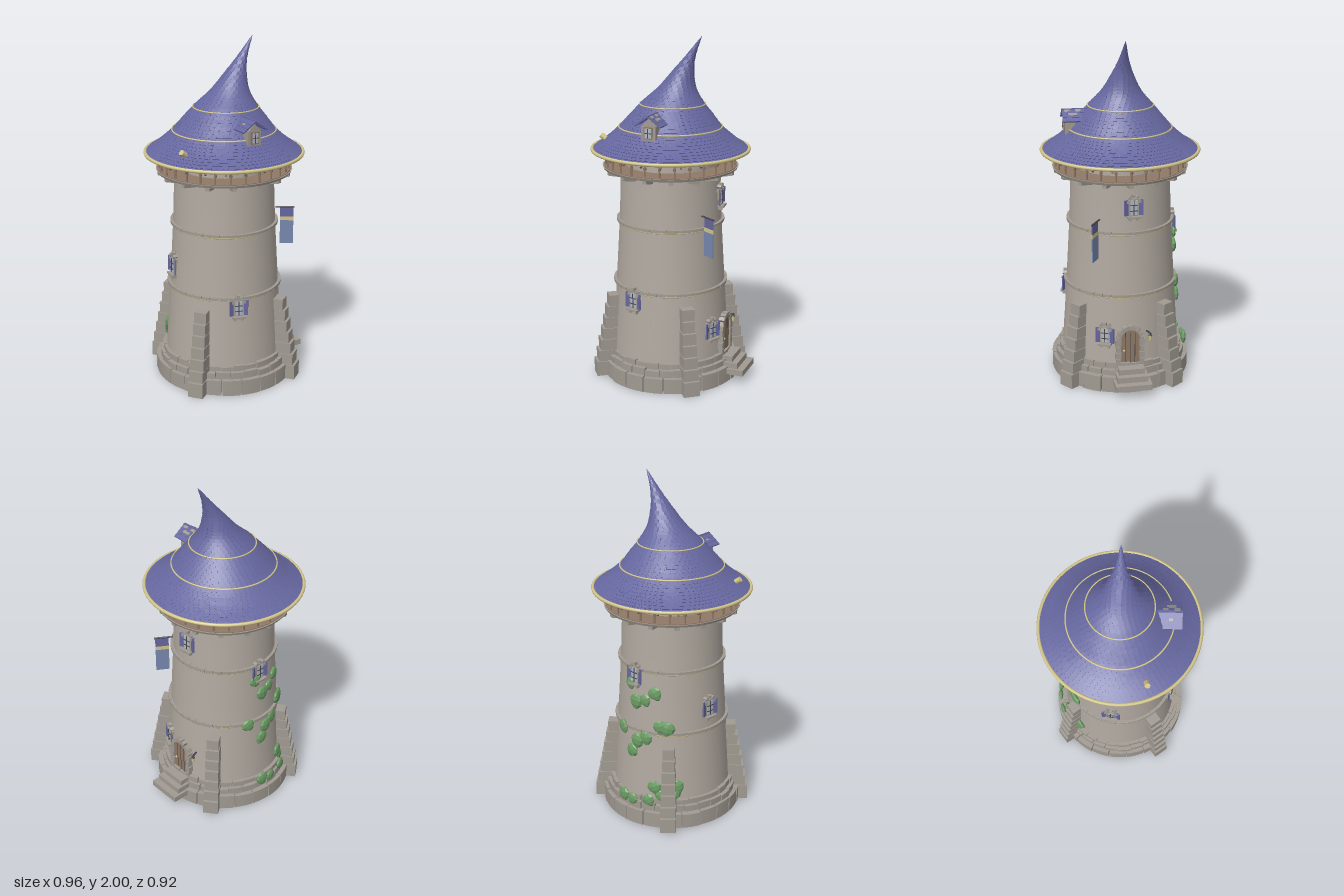
import * as THREE from 'three';
import { mergeGeometries } from 'three/addons/utils/BufferGeometryUtils.js';

const mat = (name, color, side = THREE.FrontSide) => {
  const m = new THREE.MeshStandardMaterial({ color, side });
  m.name = name;
  return m;
};
const M = {
  wall: mat('wall stone', 0xb1a9a0, THREE.DoubleSide),
  block: mat('block stone', 0xa09a91),
  roof: mat('roof blue', 0x66679f, THREE.DoubleSide),
  gold: mat('gold trim', 0xd3c68a),
  wood: mat('wood', 0x8f7866),
  glass: mat('window glass', 0xb0b8c6),
  ivy: mat('ivy green', 0x6c9d65),
  cloth: mat('banner cloth', 0x7888ae),
  dark: mat('dark iron', 0x4a484e),
};
const rad = THREE.MathUtils.degToRad;
let seed = 7;
const rnd = () => (seed = (seed * 16807) % 2147483647) / 2147483647;

function add(parent, name, geo, material, x = 0, y = 0, z = 0) {
  const mesh = new THREE.Mesh(geo, material);
  mesh.name = name;
  mesh.position.set(x, y, z);
  parent.add(mesh);
  return mesh;
}
const box = (w, h, d, x = 0, y = 0, z = 0) => new THREE.BoxGeometry(w, h, d).translate(x, y, z);

// Moves every vertex of a geometry by a rule
function bend(geo, rule) {
  const p = geo.attributes.position, v = new THREE.Vector3();
  for (let i = 0; i < p.count; i++) {
    rule(v.fromBufferAttribute(p, i));
    p.setXYZ(i, v.x, v.y, v.z);
  }
  geo.computeVertexNormals();
  return geo;
}
// Block curved around the tower axis
const arcBlock = (a0, a1, r0, r1, y0, y1) => bend(new THREE.BoxGeometry(1, 1, 1, 3), (v) => {
  const a = a0 + (v.x + 0.5) * (a1 - a0), r = r0 + (v.z + 0.5) * (r1 - r0);
  v.set(Math.sin(a) * r, y0 + (v.y + 0.5) * (y1 - y0), Math.cos(a) * r);
});
function blockRing(n, r0, r1, y0, y1, gap, wobble) {
  const step = Math.PI * 2 / n;
  return mergeGeometries(Array.from({ length: n }, (_, i) =>
    arcBlock(i * step, (i + 1) * step - gap, r0, r1 + (rnd() - 0.5) * wobble, y0, y1 + (rnd() - 0.5) * wobble)));
}
// Same piece repeated around the axis
const around = (n, make) => mergeGeometries(Array.from({ length: n }, (_, i) => make().rotateY(i * Math.PI * 2 / n)));
const ring = (r, tube) => new THREE.TorusGeometry(r, tube, 8, 64).rotateX(Math.PI / 2);

// Shaft profile as [radius, height]
const SHAFT = [[0.35, 0.1], [0.34, 0.26], [0.32, 0.56], [0.298, 0.93], [0.287, 1.22]];
function shaftR(y) {
  for (let i = 1; i < SHAFT.length; i++) {
    const [r0, y0] = SHAFT[i - 1], [r1, y1] = SHAFT[i];
    if (y <= y1) return r0 + (r1 - r0) * (y - y0) / (y1 - y0);
  }
  return 0.287;
}
function onWall(parent, name, deg, y, out = 0) {
  const g = new THREE.Group(), a = rad(deg), r = shaftR(y) + out;
  g.name = name;
  g.position.set(Math.sin(a) * r, y, Math.cos(a) * r);
  g.rotation.y = a;
  parent.add(g);
  return g;
}
// Wedge stones over an opening
function archStones(n, r, size, y) {
  return mergeGeometries(Array.from({ length: n }, (_, i) => {
    const a = Math.PI * (i / (n - 1) - 0.5);
    return box(size * 0.92, size, 0.04, 0, r, 0).rotateZ(a).translate(0, y, 0);
  }));
}

function addWindow(parent, deg, y) {
  const g = onWall(parent, 'window', deg, y);
  add(g, 'windowFrame', box(0.058, 0.1, 0.03), M.block);
  add(g, 'windowPane', box(0.042, 0.086, 0.008, 0, 0, 0.014), M.glass);
  add(g, 'windowBars', mergeGeometries([box(0.004, 0.086, 0.006, 0, 0, 0.019),
    box(0.044, 0.004, 0.006, 0, 0.015, 0.019), box(0.044, 0.004, 0.006, 0, -0.018, 0.019)]), M.dark);
  add(g, 'windowHood', archStones(5, 0.032, 0.018, 0.036), M.block);
  add(g, 'windowSill', mergeGeometries([box(0.075, 0.012, 0.05, 0, -0.055, 0.01),
    box(0.012, 0.016, 0.03, -0.022, -0.068, 0.01), box(0.012, 0.016, 0.03, 0.022, -0.068, 0.01)]), M.block);
  for (const s of [-1, 1]) {
    const shutter = add(g, 'shutter', box(0.024, 0.09, 0.008), M.roof, s * 0.043, 0, 0.014);
    shutter.rotation.y = -s * 0.35;
  }
}

function addDoor(parent) {
  const g = onWall(parent, 'door', 90, 0.15, -0.005), w = 0.055, h = 0.165;
  const s = new THREE.Shape().moveTo(-w, 0).lineTo(w, 0).lineTo(w, h).absarc(0, h, w, 0, Math.PI).lineTo(-w, 0);
  add(g, 'doorLeaf', new THREE.ExtrudeGeometry(s, { depth: 0.04, bevelEnabled: false, curveSegments: 10 }), M.wood, 0, 0, -0.03);
  add(g, 'doorPlankGaps', mergeGeometries([-0.028, 0, 0.028].map((x) => box(0.003, 0.2, 0.003, x, 0.1, 0.01))), M.dark);
  add(g, 'doorArch', archStones(9, 0.066, 0.024, h), M.block);
  add(g, 'doorJambs', mergeGeometries([-1, 1].flatMap((k) => [0, 1, 2, 3].map((i) =>
    box(0.024 + (i % 2) * 0.01, 0.037, 0.045, k * 0.069, 0.02 + i * 0.04, -0.002)))), M.block);
  add(g, 'doorHandle', new THREE.SphereGeometry(0.007, 8, 6), M.gold, -0.036, 0.09, 0.014);
  // Steps and lantern
  add(parent, 'steps', mergeGeometries([box(0.15, 0.034, 0.21, 0.42, 0.067, 0),
    box(0.13, 0.034, 0.18, 0.39, 0.101, 0), box(0.12, 0.034, 0.15, 0.36, 0.133, 0)]), M.block);
  const l = onWall(parent, 'lantern', 108, 0.305);
  add(l, 'lanternBracket', box(0.008, 0.008, 0.05, 0, 0.035, 0.02), M.dark);
  add(l, 'lanternGlass', new THREE.CylinderGeometry(0.01, 0.008, 0.03, 6), M.gold, 0, 0.008, 0.038);
  add(l, 'lanternCap', new THREE.ConeGeometry(0.014, 0.014, 6), M.dark, 0, 0.029, 0.038);
}

// Roof spine: x = centre offset, y = height, z = radius
const SPINE = new THREE.CatmullRomCurve3([[0, 1.352, 0.45], [0, 1.41, 0.368], [0, 1.48, 0.292], [0.006, 1.55, 0.234],
  [0.013, 1.62, 0.175], [0.038, 1.7, 0.11], [0.077, 1.8, 0.06], [0.112, 1.87, 0.033], [0.146, 1.93, 0.016],
  [0.187, 1.998, 0.001]].map((p) => new THREE.Vector3(...p)));
function roofPoint(v, a, t, out) {
  const p = SPINE.getPointAt(THREE.MathUtils.clamp(t, 0, 1)), r = p.z + out;
  v.set(p.x + Math.sin(a) * r, p.y + out * 0.8 * (1 - t), Math.cos(a) * r);
}
function addRoof(parent) {
  add(parent, 'roofSkin', bend(new THREE.PlaneGeometry(1, 1, 64, 40), (v) =>
    roofPoint(v, (v.x + 0.5) * Math.PI * 2, v.y + 0.5, 0)), M.roof);
  const tiles = [], rows = 38;
  for (let i = 0; i < rows - 1; i++) {
    const t0 = i / rows, n = Math.max(10, Math.round(SPINE.getPointAt(t0).z * 2 * Math.PI / 0.03));
    for (let j = 0; j < n; j++) {
      const shift = (i % 2) * 0.5, lift = (0.004 + rnd() * 0.0015) * (1 - 0.7 * t0);
      tiles.push(bend(new THREE.BoxGeometry(1, 1, 1), (v) => roofPoint(v, (j + shift + v.x * 0.97) * Math.PI * 2 / n,
        t0 + (v.y + 0.5) * 1.03 / rows, (v.z + 0.5) * (v.y < 0 ? lift : 0.0015))));
    }
  }
  add(parent, 'roofTiles', mergeGeometries(tiles), M.roof);
  add(parent, 'eaveTrim', ring(0.451, 0.01), M.gold, 0, 1.354, 0);
  add(parent, 'lowerRoofBand', ring(0.296, 0.0045), M.gold, 0, 1.482, 0);
  add(parent, 'upperRoofBand', ring(0.187, 0.004), M.gold, 0.012, 1.612, 0);
  // Rafters under the eaves
  add(parent, 'rafters', around(24, () => box(0.01, 0.012, 0.2).rotateX(0.72).translate(0, 1.395, 0.35)), M.wood);
  const spout = add(parent, 'roofSpout', new THREE.CylinderGeometry(0.016, 0.016, 0.035, 12), M.gold, -0.352, 1.42, 0.155);
  spout.rotation.set(0.3, 0, 0.9);

  // Dormer
  const g = new THREE.Group();
  g.name = 'dormer';
  parent.add(g);
  const s = new THREE.Shape().moveTo(-0.042, 1.43).lineTo(0.042, 1.43).lineTo(0.042, 1.535).lineTo(0, 1.575).lineTo(-0.042, 1.535);
  add(g, 'dormerWall', new THREE.ExtrudeGeometry(s, { depth: 0.12, bevelEnabled: false }), M.block, 0, 0, 0.2);
  add(g, 'dormerFrame', box(0.052, 0.068, 0.01), M.wood, 0, 1.498, 0.321);
  add(g, 'dormerPane', box(0.038, 0.054, 0.008), M.glass, 0, 1.498, 0.325);
  add(g, 'dormerBars', mergeGeometries([box(0.004, 0.054, 0.006), box(0.038, 0.004, 0.006)]), M.dark, 0, 1.498, 0.328);
  for (const k of [-1, 1]) for (let i = 0; i < 3; i++) {
    const slab = add(g, 'dormerRoof', box(0.036, 0.008, 0.133), M.roof, k * (0.013 + i * 0.025), 1.582 - i * 0.018, 0.267);
    slab.rotation.z = -k * 0.55;
  }
  add(g, 'dormerRidge', box(0.012, 0.01, 0.136), M.roof, 0, 1.59, 0.267);
  // Bare patches where dormer tiles are missing, as [x, y, z, width, depth]
  for (const [x, y, z, w, d] of [[0.015, 1.586, 0.243, 0.018, 0.03], [0.015, 1.586, 0.305, 0.018, 0.03],
    [0.038, 1.57, 0.275, 0.018, 0.05], [-0.038, 1.57, 0.272, 0.014, 0.02]]) {
    add(g, 'dormerBarePatch', box(w, 0.004, d), M.block, x, y, z).rotation.z = -Math.sign(x) * 0.55;
  }
}

function addGallery(parent) {
  add(parent, 'galleryWall', new THREE.CylinderGeometry(0.255, 0.262, 0.24, 48, 1), M.wall, 0, 1.34, 0);
  add(parent, 'gallerySlab', new THREE.CylinderGeometry(0.392, 0.386, 0.014, 48), M.block, 0, 1.252, 0);
  add(parent, 'galleryFloor', new THREE.CylinderGeometry(0.384, 0.384, 0.004, 48), M.wood, 0, 1.261, 0);
  add(parent, 'galleryCorbels', around(16, () => bend(box(0.026, 0.045, 0.13, 0, 1.222, 0.317), (v) => {
    if (v.z > 0.35 && v.y < 1.22) v.y += 0.026;
  })), M.block);
  add(parent, 'galleryPosts', around(28, () => mergeGeometries([
    new THREE.CylinderGeometry(0.005, 0.005, 0.11, 6).translate(0, 1.315, 0.372),
    new THREE.CylinderGeometry(0.009, 0.009, 0.014, 6).translate(0, 1.31, 0.372)])), M.wood);
  add(parent, 'galleryBeam', ring(0.372, 0.008), M.wood, 0, 1.365, 0);
  add(parent, 'wallBrackets', around(12, () => box(0.024, 0.045, 0.05, 0, 1.335, 0.27)), M.block);
}

export function createModel() {
  const root = new THREE.Group(), tower = new THREE.Group();
  root.name = 'tower';
  tower.name = 'towerBody';
  tower.position.x = -0.016;
  root.add(tower);

  // Hollow shaft and its string courses
  add(tower, 'shaft', new THREE.LatheGeometry(SHAFT.map((p) => new THREE.Vector2(...p)), 64), M.wall);
  add(tower, 'shaftCollar', new THREE.CylinderGeometry(0.295, 0.29, 0.03, 48, 1, true), M.wall, 0, 1.232, 0);
  for (const [y, r] of [[0.567, 0.336], [0.937, 0.314]]) {
    add(tower, 'stringCourse', blockRing(40, r - 0.03, r, y - 0.006, y + 0.01, 0.006, 0), M.block);
    add(tower, 'stringCourseTrim', ring(r - 0.008, 0.005), M.gold, 0, y - 0.009, 0);
  }

  // Stepped foundation of loose blocks
  add(tower, 'foundationLower', blockRing(22, 0.35, 0.408, 0, 0.09, 0.014, 0.01), M.block);
  add(tower, 'foundationMiddle', blockRing(28, 0.34, 0.385, 0.09, 0.13, 0.012, 0.01), M.block);
  add(tower, 'foundationUpper', blockRing(32, 0.33, 0.365, 0.13, 0.162, 0.01, 0.01), M.block);

  // Diagonal buttresses of stacked blocks
  for (let k = 0; k < 4; k++) {
    const stones = [];
    for (let i = 0; i < 7; i++) {
      const y0 = i ? 0.09 + (i - 1) * 0.068 : 0, h = i ? 0.066 : 0.088, out = 0.462 - i * 0.0135;
      stones.push(box(0.086 - i * 0.003 + rnd() * 0.008, h, out - 0.32, 0, y0 + h / 2, (out + 0.32) / 2));
    }
    add(tower, 'buttress', mergeGeometries(stones).rotateY(rad(37.5 + k * 90)), M.block);
  }

  addDoor(tower);
  for (const [deg, y] of [[-17, 0.515], [95, 1.09], [66, 0.33], [262, 0.7], [178, 0.9]]) addWindow(tower, deg, y);
  addGallery(tower);
  addRoof(tower);

  // Banner hanging out from the wall
  const b = onWall(tower, 'banner', 58, 0.9, 0.066);
  const strip = (name, h, y, m) => add(b, name, box(0.006, h, 0.078, 0, y, 0), m);
  strip('bannerTop', 0.055, 0.0835, M.roof);
  strip('bannerStripe', 0.024, 0.044, M.gold);
  strip('bannerCloth', 0.142, -0.039, M.cloth);
  add(b, 'bannerPole', new THREE.CylinderGeometry(0.005, 0.005, 0.11, 8).rotateX(Math.PI / 2), M.dark, 0, 0.114, -0.01);

  // Ivy leaves, as [degrees around, height]
  const leaves = [[172, 0.84], [181, 0.74], [192, 0.76], [203, 0.81], [163, 0.55], [184, 0.5], [178, 0.43], [194, 0.53],
    [209, 0.61], [216, 0.6], [174, 0.15], [184, 0.14], [204, 0.23], [210, 0.18], [200, 0.16], [222, 0.2], [225, 0.24]];
  const leaf = leaves.map(([deg, y]) => {
    const a = rad(deg), r = Math.max(shaftR(y), y < 0.17 ? 0.375 : 0) + 0.012, k = 0.9 + rnd() * 0.3;
    return bend(new THREE.SphereGeometry(0.041, 8, 5).toNonIndexed(), (v) => {
      if (v.y < 0) v.x *= 1 + v.y * 12;
      v.z *= 0.36;
    }).scale(k, k, k).rotateZ((rnd() - 0.5) * 1.2).rotateY(a).translate(Math.sin(a) * r, y, Math.cos(a) * r);
  });
  add(tower, 'ivyLeaves', mergeGeometries(leaf), M.ivy);
  return root;
}
